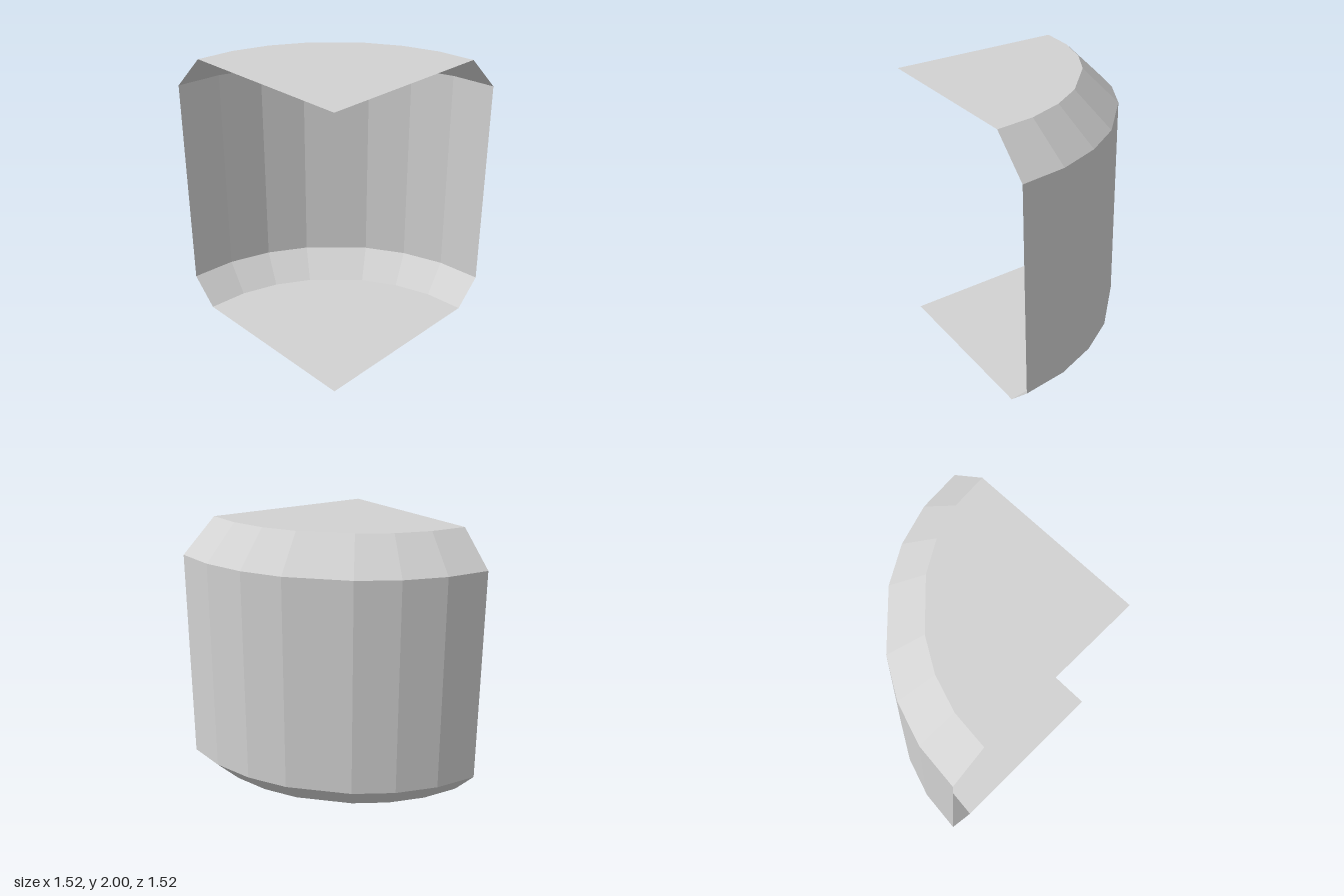
import * as THREE from 'three';

// Quarter-round corner shell: two sector caps, sloped rims and a faceted wall
const CX = -0.76, CZ = 0.76;
const half = [[0, 1.52], [0.32, 1.49], [0.62, 1.39], [0.89, 1.23]];
// Arc mirrored about its diagonal
const arc = [...half, ...half.map(([a, b]) => [b, a]).reverse()];

const ring = (scale, y) =>
  arc.map(([a, b]) => new THREE.Vector3(CX + a * scale, y, CZ - b * scale));

function facets(points) {
  const geometry = new THREE.BufferGeometry().setFromPoints(points);
  geometry.computeVertexNormals();
  return geometry;
}

// Band of flat quads between two rings, facing outward
function band(lower, upper) {
  const points = [];
  for (let i = 0; i < lower.length - 1; i++) {
    points.push(lower[i], upper[i], upper[i + 1], lower[i], upper[i + 1], lower[i + 1]);
  }
  return facets(points);
}

// Flat sector fanned out from the inner corner
function sector(edge, faceUp) {
  const corner = new THREE.Vector3(CX, edge[0].y, CZ);
  const points = [];
  for (let i = 0; i < edge.length - 1; i++) {
    if (faceUp) points.push(corner, edge[i + 1], edge[i]);
    else points.push(corner, edge[i], edge[i + 1]);
  }
  return facets(points);
}

export function createModel() {
  const group = new THREE.Group();
  group.name = 'roundedCornerShell';
  const grey = new THREE.MeshStandardMaterial({
    color: 0xd2d2d2, side: THREE.DoubleSide, flatShading: true,
  });
  grey.name = 'light grey';

  const bottom = ring(0.875, 0);
  const wallFoot = ring(1, 0.19);
  const wallHead = ring(1, 1.75);
  const top = ring(0.833, 2);

  const parts = {
    bottomCap: sector(bottom, false),
    lowerBevel: band(bottom, wallFoot),
    curvedWall: band(wallFoot, wallHead),
    upperBevel: band(wallHead, top),
    topCap: sector(top, true),
  };
  for (const [name, geometry] of Object.entries(parts)) {
    const mesh = new THREE.Mesh(geometry, grey);
    mesh.name = name;
    group.add(mesh);
  }
  return group;
}
